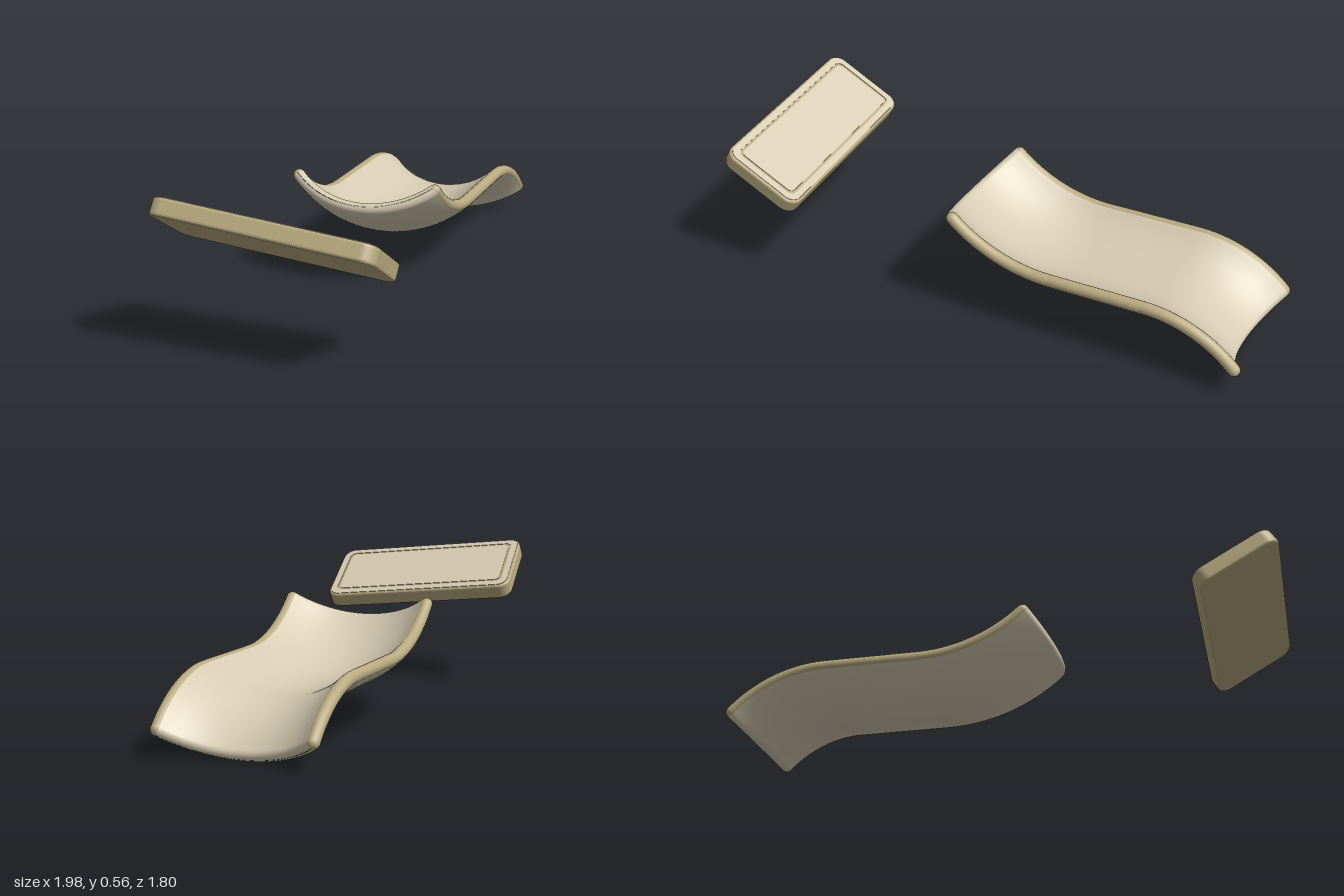
import * as THREE from 'three';

const shellMat = new THREE.MeshStandardMaterial({ color: 0xd6cbb2 });
shellMat.name = 'beige shell';
const trimMat = new THREE.MeshStandardMaterial({ color: 0xb8aa80 });
trimMat.name = 'olive trim';

// Cross-section of the trough: an arc of even thickness 2d with round rims.
// Returns the closed loop and, for each step, whether it belongs to a rim.
const HALF = 0.27, SAG = 0.108, T = 0.0225;
const R = (HALF * HALF + SAG * SAG) / (2 * SAG), A = Math.asin(HALF / R);
function section(d) {
  const pts = [], rim = [], arcN = 28, capN = 8;
  const arc = (r, from, to) => {
    for (let i = 0; i < arcN; i++) {
      const a = from + (to - from) * i / arcN;
      pts.push([r * Math.sin(a), R - r * Math.cos(a)]);
      rim.push(false);
    }
  };
  const cap = (side, start) => {
    for (let i = 0; i < capN; i++) {
      const a = start + Math.PI * i / capN;
      pts.push([side * HALF + d * Math.cos(a), SAG + d * Math.sin(a)]);
      rim.push(true);
    }
  };
  arc(R + d, -A, A);
  cap(1, A - Math.PI / 2);
  arc(R - d, A, -A);
  cap(-1, Math.PI / 2 - A);
  return { pts, rim };
}

// Skins a list of stations { z, y, tilt, d } along the trough.
function panel(name, stations) {
  const pos = [], shell = [], trim = [];
  const n = section(T).pts.length, rim = section(T).rim;
  stations.forEach(({ z, y, tilt, d }, i) => {
    for (const [u, v] of section(d).pts) {
      pos.push(u, y + v * Math.cos(tilt), z - v * Math.sin(tilt));
    }
    if (i === 0) return;
    for (let j = 0; j < n; j++) {
      const k = (j + 1) % n, a = (i - 1) * n, b = i * n;
      (rim[j] ? trim : shell).push(a + j, a + k, b + k, a + j, b + k, b + j);
    }
  });
  const g = new THREE.BufferGeometry();
  g.setAttribute('position', new THREE.Float32BufferAttribute(pos, 3));
  g.setIndex([...shell, ...trim]);
  g.addGroup(0, shell.length, 0);
  g.addGroup(shell.length, trim.length, 1);
  g.computeVertexNormals();
  const mesh = new THREE.Mesh(g, [shellMat, trimMat]);
  mesh.name = name;
  return mesh;
}

// Stations of a bend that starts level at (z0, y0); dir is +1 or -1 along z,
// rise is +1 or -1. The free end is rounded off.
function bend(z0, y0, radius, angle, dir, rise) {
  const list = [], steps = 22, capSteps = 6;
  const at = (a, extra, d) => ({
    z: z0 + dir * (radius * Math.sin(a) + extra * Math.cos(a)),
    y: y0 + rise * (radius * (1 - Math.cos(a)) + extra * Math.sin(a)),
    tilt: dir * rise * a, d,
  });
  for (let i = 0; i <= steps; i++) list.push(at(angle * i / steps, 0, T));
  for (let i = 1; i <= capSteps; i++) {
    const p = Math.PI / 2 * i / capSteps;
    list.push(at(angle, T * Math.sin(p), Math.max(T * Math.cos(p), 0.0004)));
  }
  return dir > 0 ? list : list.reverse();
}

function roundedRect(Path, w, h, r) {
  const p = new Path(), x = w / 2, y = h / 2;
  p.moveTo(-x + r, -y);
  p.lineTo(x - r, -y);
  p.absarc(x - r, -y + r, r, -Math.PI / 2, 0);
  p.lineTo(x, y - r);
  p.absarc(x - r, y - r, r, 0, Math.PI / 2);
  p.lineTo(-x + r, y);
  p.absarc(-x + r, y - r, r, Math.PI / 2, Math.PI);
  p.lineTo(-x, -y + r);
  p.absarc(-x + r, -y + r, r, Math.PI, Math.PI * 1.5);
  return p;
}

export function createModel() {
  const model = new THREE.Group();
  model.name = 'curvedSeatAndPlate';

  // S-shaped trough: one end curls up, the other curls down
  const trough = new THREE.Group();
  trough.name = 'trough';
  const y0 = 0.1365, z0 = 0.33, z1 = 0.68, deg = Math.PI / 180;
  trough.add(
    panel('raisedPanel', bend(z0, y0, 0.69, 42 * deg, -1, 1)),
    panel('middlePanel', [0, 0.25, 0.5, 0.75, 1].map(
      (t) => ({ z: z0 + (z1 - z0) * t, y: y0, tilt: 0, d: T }))),
    panel('loweredPanel', bend(z1, y0, 0.38, 46 * deg, 1, -1)),
  );
  trough.rotation.y = 2.27;
  trough.position.set(-0.005, 0, -0.006);
  model.add(trough);

  // Tilted flat plate with rounded corners
  const plate = new THREE.Group();
  plate.name = 'plate';
  const len = 0.79, wid = 0.33, thick = 0.064, bev = 0.01;
  const body = new THREE.Mesh(new THREE.ExtrudeGeometry(
    roundedRect(THREE.Shape, len - 2 * bev, wid - 2 * bev, 0.04),
    { depth: thick - 2 * bev, bevelSize: bev, bevelThickness: bev, bevelSegments: 3, curveSegments: 8 }), trimMat);
  body.name = 'plateBody';
  body.position.z = -thick / 2 + bev;
  plate.add(body);

  // Top face: border and centre panel with a trim line showing between them
  const border = roundedRect(THREE.Shape, len - 0.02, wid - 0.02, 0.04);
  border.holes.push(roundedRect(THREE.Path, len - 0.07, wid - 0.07, 0.025));
  const centre = roundedRect(THREE.Shape, len - 0.09, wid - 0.09, 0.02);
  for (const [name, shape] of [['plateBorder', border], ['plateCentre', centre]]) {
    const face = new THREE.Mesh(new THREE.ExtrudeGeometry(
      shape, { depth: 0.002, bevelEnabled: false, curveSegments: 8 }), shellMat);
    face.name = name;
    face.position.z = thick / 2;
    plate.add(face);
  }
  const along = new THREE.Vector3(0.649, -0.093, 0.755).normalize();
  const up = new THREE.Vector3(0.44, 0.853, -0.275);
  up.addScaledVector(along, -up.dot(along)).normalize();
  const across = new THREE.Vector3().crossVectors(up, along);
  plate.quaternion.setFromRotationMatrix(new THREE.Matrix4().makeBasis(along, across, up));
  plate.position.set(-0.648, 0.422, 0.523);
  model.add(plate);

  return model;
}
